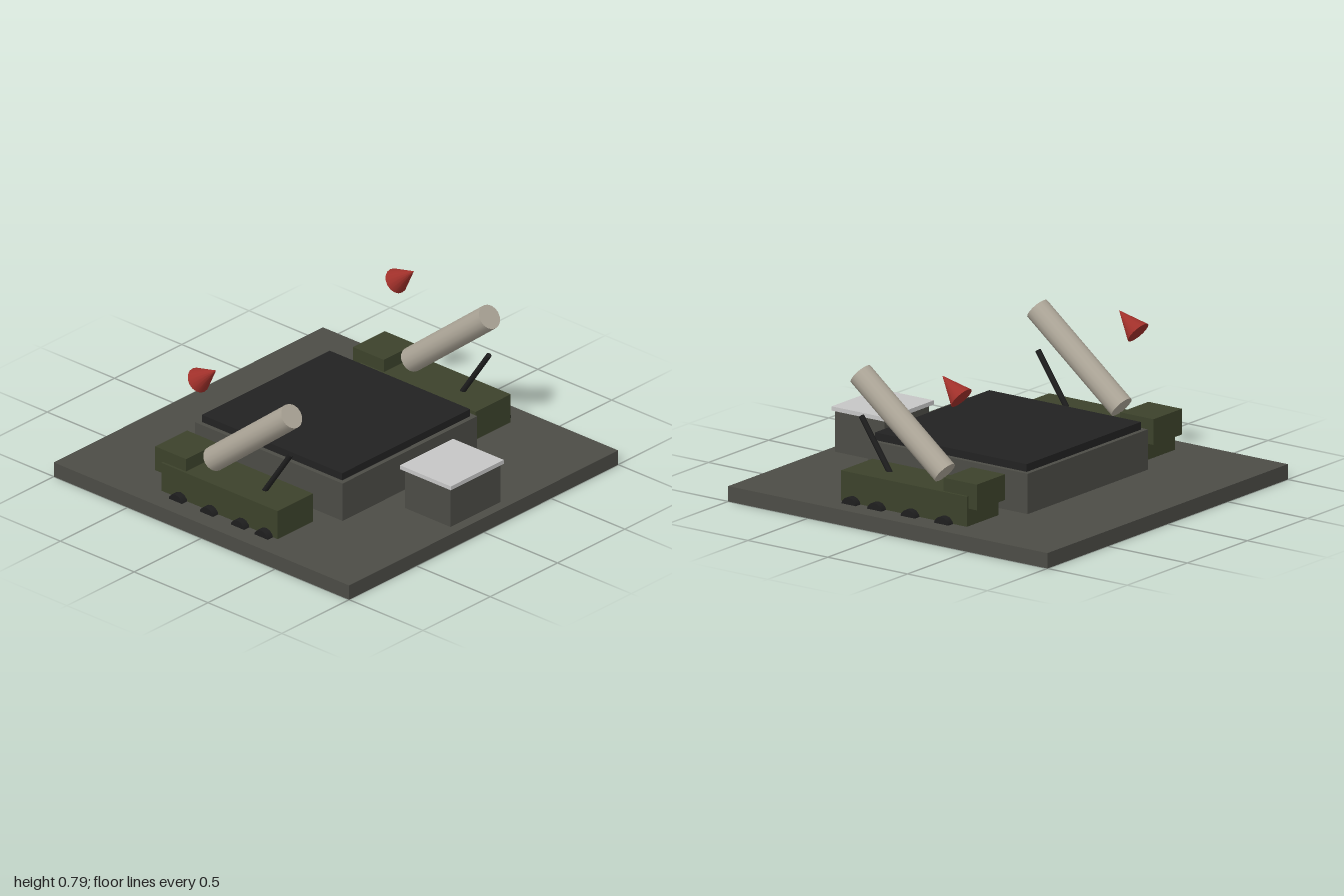
import * as THREE from 'three';

const material = (name, color) => {
  const m = new THREE.MeshStandardMaterial({ color });
  m.name = name;
  return m;
};

export function createModel() {
  const concrete = material('concrete grey', 0x4c4c46);
  const black = material('roof black', 0x222222);
  const rubber = material('dark rubber', 0x1e1e1e);
  const olive = material('olive green', 0x3c422b);
  const beige = material('tube beige', 0xada698);
  const red = material('warhead red', 0xa0302a);
  const pale = material('pale grey', 0xc6c6c6);

  const model = new THREE.Group();
  model.name = 'launchSite';

  const add = (parent, name, geometry, mat, x = 0, y = 0, z = 0) => {
    const mesh = new THREE.Mesh(geometry, mat);
    mesh.name = name;
    mesh.position.set(x, y, z);
    parent.add(mesh);
    return mesh;
  };
  // Box given by its x centre, width and its y and z ranges
  const box = (parent, name, mat, x, w, y0, y1, z0, z1) =>
    add(parent, name, new THREE.BoxGeometry(w, y1 - y0, z1 - z0), mat, x, (y0 + y1) / 2, (z0 + z1) / 2);
  // Round part running between two (y, z) points
  const rod = (parent, name, mat, rTop, rBottom, sides, [y0, z0], [y1, z1]) => {
    const dy = y1 - y0, dz = z1 - z0;
    const mesh = add(parent, name, new THREE.CylinderGeometry(rTop, rBottom, Math.hypot(dy, dz), sides),
      mat, 0, (y0 + y1) / 2, (z0 + z1) / 2);
    mesh.rotation.x = Math.atan2(dz, dy);
    return mesh;
  };

  // Ground slab, central building and small hut
  box(model, 'groundSlab', concrete, 0, 2, 0, 0.08, -1, 1);
  box(model, 'building', concrete, 0, 1, 0.08, 0.29, -0.5, 0.5);
  box(model, 'buildingRoof', black, 0, 0.95, 0.29, 0.33, -0.475, 0.475);
  box(model, 'hut', concrete, 0, 0.37, 0.08, 0.295, 0.635, 0.945);
  box(model, 'hutRoof', pale, 0, 0.394, 0.295, 0.317, 0.613, 0.957);

  // A launcher truck on each side, wheels facing outwards
  for (const side of [-1, 1]) {
    const truck = new THREE.Group();
    truck.name = side > 0 ? 'leftLauncher' : 'rightLauncher';
    truck.position.x = side * 0.735;
    model.add(truck);

    box(truck, 'chassis', olive, 0, 0.262, 0.08, 0.237, -0.394, 0.394);
    box(truck, 'cab', olive, 0, 0.236, 0.172, 0.306, -0.447, -0.238);

    for (const z of [0.317, 0.157, -0.053, -0.263]) {
      const wheel = add(truck, 'wheel', new THREE.CylinderGeometry(0.048, 0.048, 0.08, 12), rubber, side * 0.13, 0.069, z);
      wheel.rotation.z = Math.PI / 2;
    }

    rod(truck, 'supportStrut', rubber, 0.015, 0.015, 8, [0.18, 0.152], [0.497, 0.366]);
    rod(truck, 'launchTube', beige, 0.065, 0.065, 16, [0.291, -0.158], [0.714, 0.37]);
    rod(truck, 'warhead', red, 0, 0.066, 16, [0.698, -0.262], [0.794, -0.142]);
  }
  return model;
}
